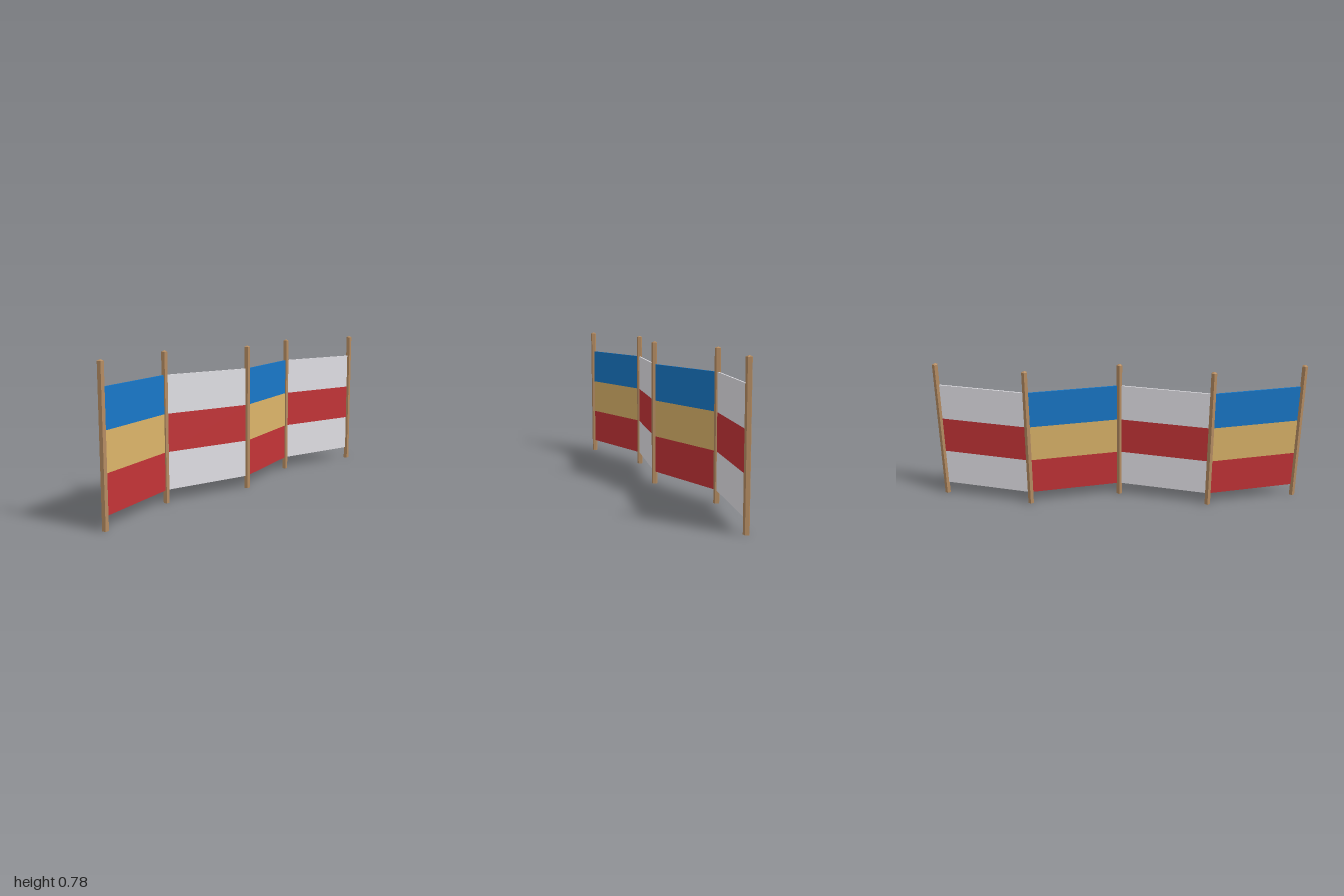
import * as THREE from 'three';

const mat = (color) => new THREE.MeshStandardMaterial({ color, flatShading: true });

export function createModel() {
  const model = new THREE.Group();
  model.name = 'windbreak';

  const wood = mat(0xb58c62);
  const blue = mat(0x1878c8), gold = mat(0xdcb46a), red = mat(0xc43437), white = mat(0xe2e1e6);

  const radius = 0.016, spacing = 0.4924;
  const capBase = 0.752, capTop = 0.772, peak = 0.779;

  // Five posts in a zigzag: outer and middle ones forward, the others back
  const spots = [0, 1, 2, 3, 4].map((i) => new THREE.Vector2((i - 2) * spacing, i % 2 ? -0.058 : 0.061));

  // Five-sided post with a shallow pointed cap, one corner towards the back
  const postGeo = new THREE.CylinderGeometry(radius, radius, capBase, 5).translate(0, capBase / 2, 0);
  const capGeo = new THREE.CylinderGeometry(radius, radius, capTop - capBase, 5, 1, true)
    .translate(0, (capBase + capTop) / 2, 0);
  const tipGeo = new THREE.ConeGeometry(radius, peak - capTop, 5, 1, true)
    .translate(0, (capTop + peak) / 2, 0);

  spots.forEach((p, i) => {
    const post = new THREE.Group();
    post.name = `post${i + 1}`;
    for (const [name, geo] of [['shaft', postGeo], ['cap', capGeo], ['capTip', tipGeo]]) {
      const mesh = new THREE.Mesh(geo, wood);
      mesh.name = name;
      post.add(mesh);
    }
    post.position.set(p.x, 0, p.y);
    post.rotation.y = Math.PI;
    model.add(post);
  });

  // Cloth panels between neighbouring posts, each with three stripes (bottom to top)
  const bottom = 0.0675, stripeHeight = 0.1963, thickness = 0.008;
  const schemes = [[red, gold, blue], [white, red, white]];
  for (let i = 0; i < 4; i++) {
    const a = spots[i], b = spots[i + 1];
    const panel = new THREE.Group();
    panel.name = `panel${i + 1}`;
    const stripeGeo = new THREE.BoxGeometry(a.distanceTo(b), stripeHeight, thickness);
    schemes[i % 2].forEach((material, k) => {
      const stripe = new THREE.Mesh(stripeGeo, material);
      stripe.name = ['lowerStripe', 'middleStripe', 'upperStripe'][k];
      stripe.position.y = bottom + (k + 0.5) * stripeHeight;
      panel.add(stripe);
    });
    panel.position.set((a.x + b.x) / 2, 0, (a.y + b.y) / 2);
    panel.rotation.y = -Math.atan2(b.y - a.y, b.x - a.x);
    model.add(panel);
  }

  return model;
}
